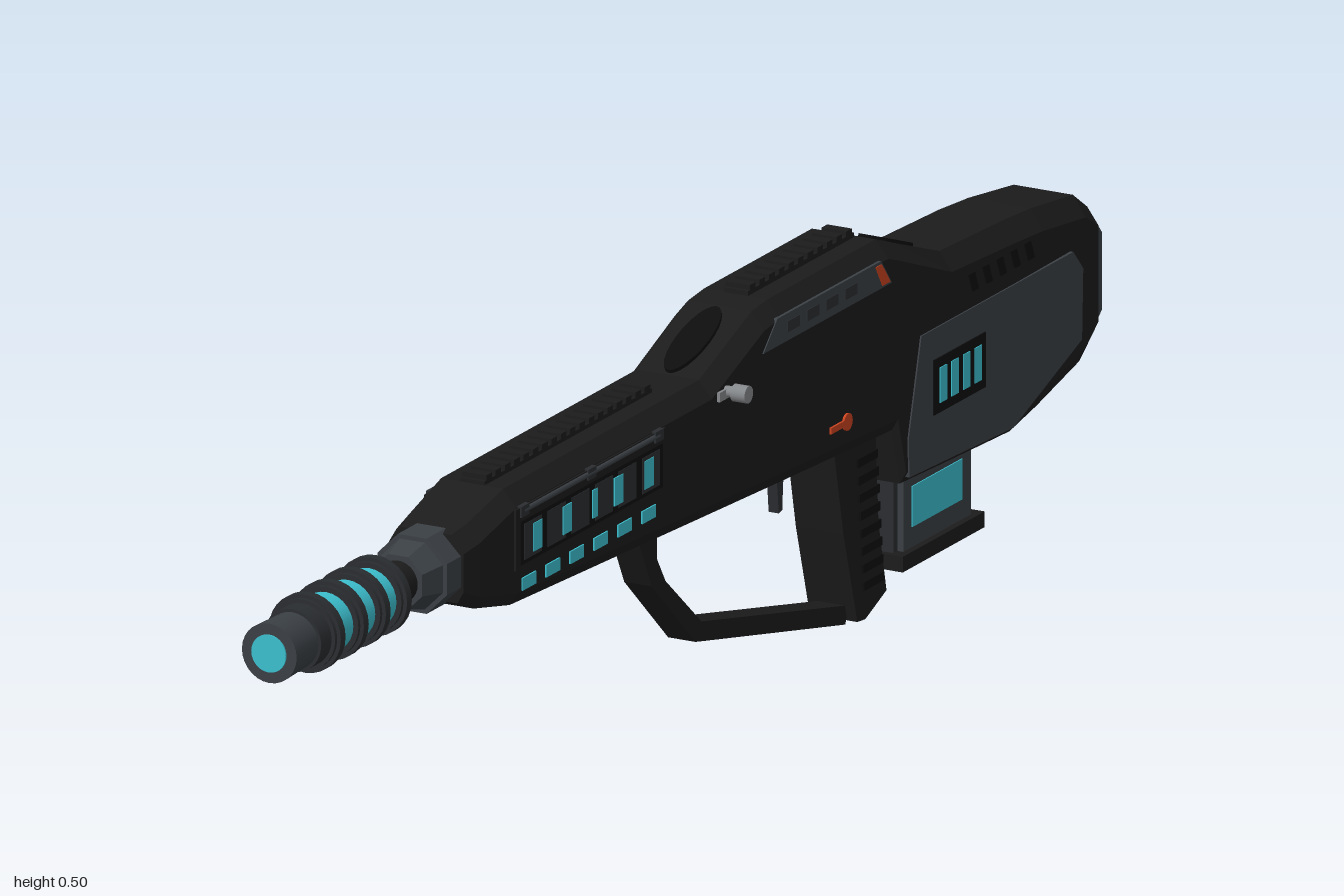
import * as THREE from 'three';

const mat = (name, color) => {
  const m = new THREE.MeshStandardMaterial({ color });
  m.name = name;
  return m;
};

export function createModel() {
  const body = mat('matte black', 0x1c1c1c), black = mat('deep black', 0x0d0d0d),
    grey = mat('slate grey', 0x3b4045), dark = mat('gunmetal', 0x2a2d30),
    cyan = mat('cyan glow', 0x3cbfce), orange = mat('orange', 0xc8421f), steel = mat('steel', 0x85888b);
  const root = new THREE.Group();
  root.name = 'rifle';
  const gun = new THREE.Group();
  gun.name = 'gun';
  gun.position.x = -0.0125;
  root.add(gun);

  const add = (name, geo, material, x = 0, y = 0, z = 0) => {
    const m = new THREE.Mesh(geo, material);
    m.name = name;
    m.position.set(x, y, z);
    gun.add(m);
    return m;
  };
  const box = (name, material, w, h, d, x, y, z) => add(name, new THREE.BoxGeometry(w, h, d), material, x, y, z);
  // side profile of [z, y] points, extruded across x around xc
  const slab = (name, material, pts, width, xc = 0, hole) => {
    const s = new THREE.Shape(pts.map(p => new THREE.Vector2(...p)));
    if (hole) s.holes.push(new THREE.Path(hole.map(p => new THREE.Vector2(...p))));
    const g = new THREE.ExtrudeGeometry(s, { depth: width, bevelEnabled: false });
    g.translate(0, 0, -width / 2).rotateY(-Math.PI / 2);
    return add(name, g, material, xc);
  };
  // cylinder along z from z0 (back) to z1 (front)
  const tube = (name, material, z0, z1, rBack, rFront = rBack, sides = 28) => {
    const g = new THREE.CylinderGeometry(rFront, rBack, z1 - z0, sides);
    if (sides === 8) g.rotateY(Math.PI / 8);
    g.rotateX(Math.PI / 2);
    return add(name, sides === 8 ? flat(g) : g, material, 0, 0.363, (z0 + z1) / 2);
  };
  const flat = g => { const n = g.toNonIndexed(); n.computeVertexNormals(); return n; };
  // loft of chamfered cross-sections, front to back: [z, top, bottom, halfWidth, chamferX, chamferY]
  const loft = (name, material, sections) => {
    const pos = [], idx = [];
    for (const [z, t, b, w, cx, cy] of sections)
      for (const [x, y] of [[-w + cx * 0.5, b], [w - cx * 0.5, b], [w, b + cy * 0.7], [w, t - cy],
        [w - cx, t], [-w + cx, t], [-w, t - cy], [-w, b + cy * 0.7]]) pos.push(x, y, z);
    const last = (sections.length - 1) * 8;
    for (let i = 0; i < last; i += 8)
      for (let j = 0; j < 8; j++) {
        const a = i + j, c = i + (j + 1) % 8;
        idx.push(a, a + 8, c, c, a + 8, c + 8);
      }
    for (let j = 1; j < 7; j++) idx.push(0, j, j + 1, last, last + j + 1, last + j);
    const g = new THREE.BufferGeometry();
    g.setAttribute('position', new THREE.Float32BufferAttribute(pos, 3));
    g.setIndex(idx);
    return add(name, flat(g), material);
  };

  // receiver, hump and stock in one shell
  loft('receiver', body, [
    [0.605, 0.408, 0.322, 0.052, 0.018, 0.022],
    [0.575, 0.415, 0.308, 0.058, 0.018, 0.022],
    [0.49, 0.436, 0.289, 0.061, 0.018, 0.022],
    [0.0, 0.436, 0.264, 0.061, 0.018, 0.022],
    [-0.13, 0.487, 0.258, 0.062, 0.018, 0.022],
    [-0.17, 0.491, 0.256, 0.062, 0.018, 0.022],
    [-0.44, 0.491, 0.243, 0.062, 0.018, 0.022],
    [-0.465, 0.482, 0.242, 0.062, 0.018, 0.022],
    [-0.485, 0.474, 0.168, 0.062, 0.018, 0.022],
    [-0.6, 0.431, 0.163, 0.062, 0.018, 0.024],
    [-0.76, 0.425, 0.157, 0.062, 0.018, 0.026],
    [-0.83, 0.42, 0.17, 0.061, 0.018, 0.026],
    [-0.94, 0.406, 0.195, 0.059, 0.018, 0.026],
    [-0.978, 0.38, 0.221, 0.056, 0.016, 0.022]]);
  loft('buttPad', grey, [
    [-0.976, 0.374, 0.226, 0.056, 0.014, 0.02],
    [-0.99, 0.366, 0.234, 0.054, 0.014, 0.02],
    [-1.0, 0.356, 0.243, 0.048, 0.012, 0.016]]);

  // toothed sighting rails
  const rail = (name, z0, z1, y) => {
    box(name, body, 0.034, 0.01, z1 - z0, 0, y, (z0 + z1) / 2);
    const n = Math.round((z1 - z0) / 0.024);
    for (let i = 0; i < n; i++)
      box(name + 'Tooth', body, 0.034, 0.007, 0.014, 0, y + 0.008, z0 + (i + 0.5) * (z1 - z0) / n);
  };
  rail('frontRail', 0.07, 0.49, 0.436);
  rail('humpRail', -0.435, -0.17, 0.492);

  // scooped sight channels on the hump slopes
  for (const [y, z, tilt, len] of [[0.4625, -0.063, 0.373, 0.065], [0.453, -0.545, -0.36, 0.06]]) {
    const s = add('sightScoop', new THREE.CylinderGeometry(1, 1, 0.006, 24), black, 0, y, z);
    s.scale.set(0.022, 1, len);
    s.rotation.x = tilt;
  }

  // barrel and muzzle
  tube('barrelCollar', grey, 0.59, 0.64, 0.052, 0.052, 8);
  tube('barrelCone', grey, 0.64, 0.675, 0.046, 0.036, 8);
  tube('barrel', body, 0.64, 0.76, 0.027);
  tube('glowCore', cyan, 0.735, 0.905, 0.038);
  for (const z of [0.737, 0.79, 0.845, 0.903]) {
    tube('coolingRing', dark, z - 0.011, z + 0.011, 0.045);
    tube('coolingRingRim', dark, z - 0.006, z + 0.006, 0.05);
  }
  tube('muzzle', dark, 0.905, 0.94, 0.04);
  tube('muzzleTip', grey, 0.94, 0.998, 0.036, 0.038);
  tube('muzzleLens', cyan, 0.99, 1.0, 0.024);

  // pistol grip with ribs down its back
  slab('grip', body, [[-0.355, 0.25], [-0.38, 0.13], [-0.415, 0.008], [-0.435, 0.006],
    [-0.488, 0.028], [-0.468, 0.12], [-0.46, 0.25]], 0.066);
  for (let i = 0; i < 8; i++) {
    const y = 0.05 + i * 0.023;
    box('gripRib', black, 0.072, 0.011, 0.05, 0, y, -0.452 + i * 0.0022);
  }
  // trigger guard
  slab('triggerGuard', body, [[0.11, 0.272], [0.105, 0.25], [0.075, 0.19], [-0.035, 0.088], [-0.41, 0.004],
    [-0.42, 0.026], [-0.05, 0.11], [0.04, 0.187], [0.062, 0.222], [0.06, 0.268]], 0.038);
  slab('trigger', dark, [[-0.255, 0.26], [-0.262, 0.215], [-0.265, 0.185], [-0.274, 0.187],
    [-0.276, 0.22], [-0.285, 0.26]], 0.014);

  // magazine
  box('magazine', grey, 0.066, 0.125, 0.17, 0, 0.115, -0.615);
  box('magazineSpine', dark, 0.05, 0.11, 0.19, 0, 0.12, -0.615);
  box('magazineBase', body, 0.084, 0.02, 0.205, 0, 0.055, -0.615);
  box('magazineButton', orange, 0.026, 0.008, 0.045, 0, 0.042, -0.615);

  for (const s of [1, -1]) {
    // stock cheek panel and its vent
    slab('stockPanel', grey, [[-0.52, 0.348], [-0.9, 0.348], [-0.925, 0.32], [-0.922, 0.23],
      [-0.75, 0.166], [-0.49, 0.176], [-0.488, 0.225]], 0.008, s * 0.06);
    box('ventFrame', black, 0.004, 0.07, 0.13, s * 0.064, 0.274, -0.613);
    for (let i = 0; i < 4; i++)
      box('ventGlow', cyan, 0.004, 0.045, 0.017, s * 0.0652, 0.274, -0.57 - i * 0.029);
    for (let i = 0; i < 5; i++)
      slab('stockSlot', black, [[-0.64, 0.392], [-0.655, 0.392], [-0.665, 0.368], [-0.65, 0.368]]
        .map(([z, y]) => [z - i * 0.035, y]), 0.004, s * 0.0615);
    box('magazineWindow', cyan, 0.004, 0.052, 0.125, s * 0.0325, 0.117, -0.613);

    // hump panel with slots and marker
    slab('humpPanel', grey, [[-0.125, 0.437], [-0.16, 0.472], [-0.42, 0.472], [-0.447, 0.437]], 0.005, s * 0.061);
    for (let i = 0; i < 4; i++)
      box('humpSlot', dark, 0.003, 0.014, 0.03, s * 0.063, 0.455, -0.2 - i * 0.048);
    slab('humpMarker', orange, [[-0.405, 0.468], [-0.42, 0.468], [-0.442, 0.44], [-0.422, 0.44]], 0.004, s * 0.0625);

    // fire selector
    const dot = add('selectorDot', new THREE.CylinderGeometry(0.011, 0.011, 0.006, 16), orange, s * 0.062, 0.291, -0.335);
    dot.rotation.z = Math.PI / 2;
    box('selectorBar', orange, 0.006, 0.008, 0.045, s * 0.062, 0.291, -0.315);

    // handguard side plate with light cells
    box('handguardPlate', body, 0.008, 0.078, 0.375, s * 0.06, 0.374, 0.308);
    box('handguardRecess', black, 0.002, 0.056, 0.355, s * 0.0645, 0.368, 0.308);
    for (let i = 0; i < 6; i++)
      box('handguardCell', dark, 0.002, 0.046, 0.044, s * 0.0652, 0.368, 0.456 - i * 0.059);
    for (const z of [0.446, 0.372, 0.302, 0.243, 0.167])
      box('handguardGlow', cyan, 0.002, 0.036, z === 0.302 ? 0.012 : 0.022, s * 0.0662, 0.368, z);
    for (let i = 0; i < 6; i++)
      box('statusLight', cyan, 0.004, 0.016, 0.034, s * 0.061, 0.313, 0.46 - i * 0.06);
    const rod = add('sideRod', new THREE.CylinderGeometry(0.004, 0.004, 0.34, 10), grey, s * 0.063, 0.408, 0.308);
    rod.rotation.x = Math.PI / 2;
    for (const z of [0.14, 0.308, 0.476]) box('rodClip', dark, 0.009, 0.014, 0.02, s * 0.062, 0.408, z);
  }

  // charging handle on the left side
  for (const [r, len, x] of [[0.007, 0.03, 0.068], [0.011, 0.02, 0.083]]) {
    const k = add('chargingHandle', new THREE.CylinderGeometry(r, r, len, 16), steel, x, 0.415, -0.035);
    k.rotation.z = Math.PI / 2;
  }
  box('handleMount', steel, 0.006, 0.012, 0.03, 0.062, 0.413, -0.028);
  return root;
}
